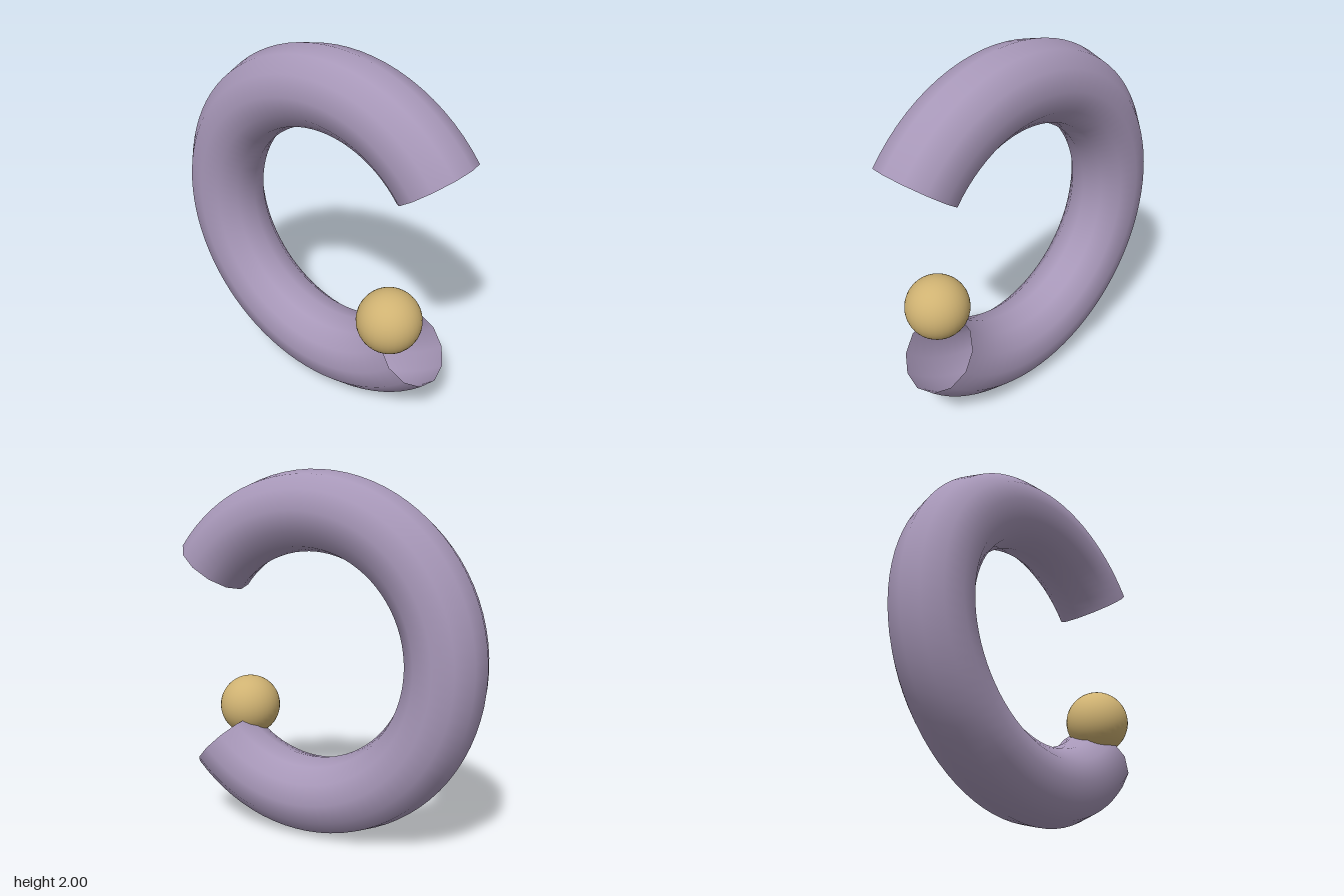
import * as THREE from 'three';

export function createModel() {
  const model = new THREE.Group();
  const deg = Math.PI / 180;

  // Open-ended hollow ring, with its gap on the +x side
  const startAngle = 37.3 * deg;
  const arc = 278.6 * deg;
  const ring = new THREE.Mesh(
    new THREE.TorusGeometry(0.785, 0.215, 12, 64, arc),
    new THREE.MeshStandardMaterial({ color: 0xa797b8, side: THREE.DoubleSide })
  );
  ring.name = 'openRing';
  ring.rotation.z = startAngle;
  ring.position.set(0.1, 1.0, -0.03);
  model.add(ring);

  // Ball resting at the lower end of the ring
  const ball = new THREE.Mesh(
    new THREE.SphereGeometry(0.175, 32, 24),
    new THREE.MeshStandardMaterial({ color: 0xcfb272 })
  );
  ball.name = 'ball';
  ball.position.set(0.57, 0.652, 0.07);
  model.add(ball);

  return model;
}
